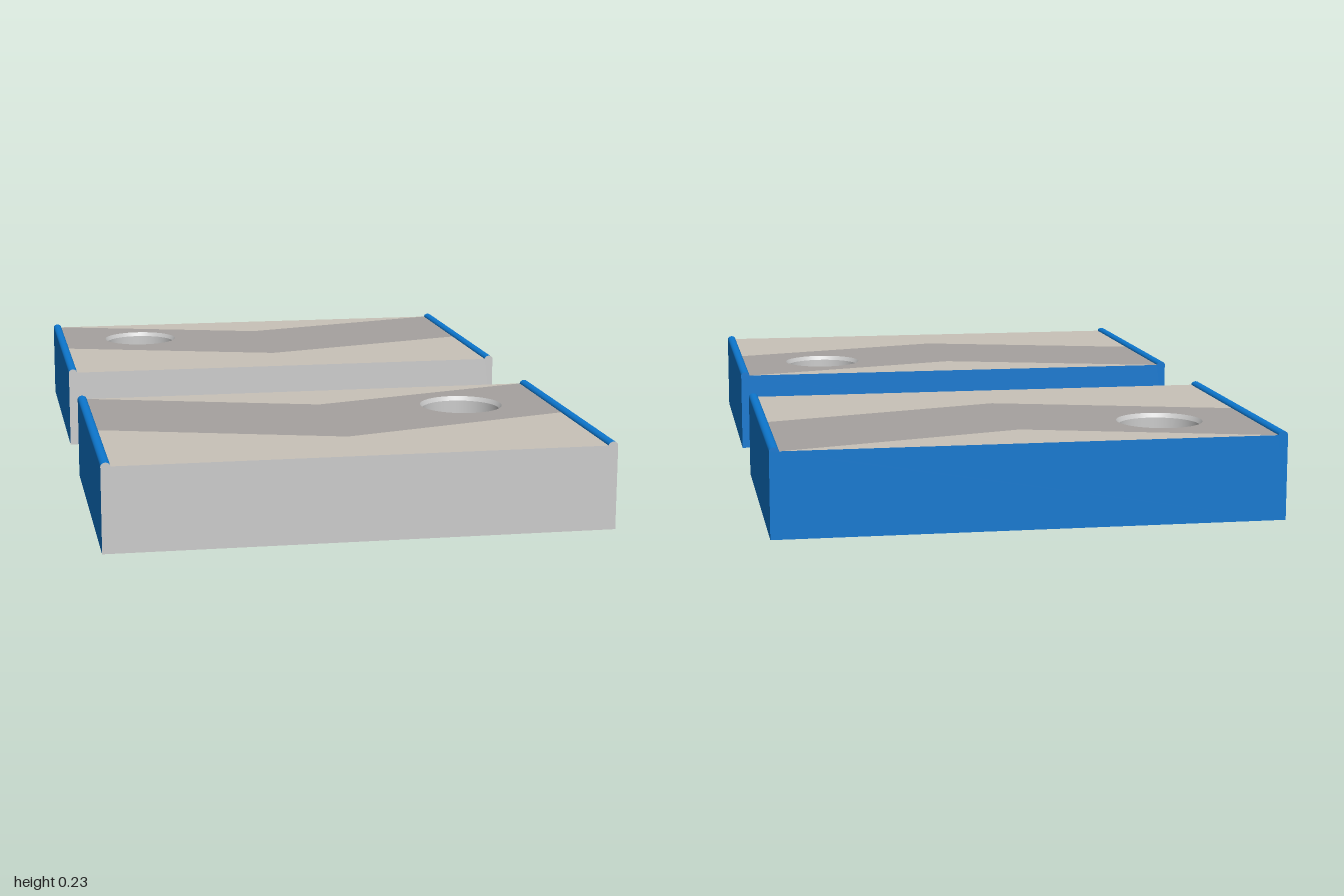
import * as THREE from 'three';

const W = 0.66, D = 0.403, H = 0.222;     // half width, half depth, deck height
const RAIL = 0.0125, RAIL_H = 0.01;       // rail half width and height
const HOLE_X = 0.39, HOLE_Z = -0.148, HOLE_R = 0.108, RIM_R = 0.114;

const material = (color) => new THREE.MeshStandardMaterial({ color });
const grey = material(0xcccccc);
const blue = material(0x0d78d0);
const tan = material(0xc8c2b8);
const taupe = material(0xa6a29f);
const holeGrey = material(0xcccccc);
holeGrey.side = THREE.DoubleSide;

function add(group, name, geometry, mat) {
  const mesh = new THREE.Mesh(geometry, mat);
  mesh.name = name;
  group.add(mesh);
  return mesh;
}

// Flat outline given as [x, z] points
const outline = (points) => new THREE.Shape(points.map(([x, z]) => new THREE.Vector2(x, -z)));

function punch(shape, x, z, radius) {
  shape.holes.push(new THREE.Path().absarc(x, -z, radius, 0, Math.PI * 2, true));
  return shape;
}

// End wall silhouette, with the rounded rail ends on top
function endWall() {
  const s = new THREE.Shape();
  s.moveTo(-W, 0).lineTo(W, 0).lineTo(W, H);
  s.absellipse(W - RAIL, H, RAIL, RAIL_H, 0, Math.PI, false);
  s.lineTo(-W + 2 * RAIL, H);
  s.absellipse(-W + RAIL, H, RAIL, RAIL_H, 0, Math.PI, false);
  s.lineTo(-W, 0);
  return new THREE.ShapeGeometry(s, 16);
}

function createBoard(holeX) {
  const board = new THREE.Group();
  const w = W - 2 * RAIL;

  // Deck: chevron band between two pale fields
  const deck = (name, shape, mat) =>
    add(board, name, new THREE.ShapeGeometry(shape, 32).rotateX(-Math.PI / 2).translate(0, H, 0), mat);
  deck('rearField', outline([[-w, -D], [0, -0.216], [w, -D]]), tan);
  deck('chevronBand', punch(
    outline([[-w, -D], [-w, 0], [0, 0.187], [w, 0], [w, -D], [0, -0.216]]),
    holeX, HOLE_Z, RIM_R), taupe);
  deck('frontField', outline([[-w, 0], [-w, D], [w, D], [w, 0], [0, 0.187]]), tan);

  // Underside
  const base = punch(outline([[-W, -D], [-W, D], [W, D], [W, -D]]), holeX, HOLE_Z, HOLE_R);
  const baseGeometry = new THREE.ShapeGeometry(base, 32).rotateX(Math.PI / 2);
  baseGeometry.scale(1, 1, 1);
  // The downward turn flips z, so the hole is laid out again on the mirrored side
  const under = punch(outline([[-W, -D], [-W, D], [W, D], [W, -D]]), holeX, -HOLE_Z, HOLE_R);
  add(board, 'underside', new THREE.ShapeGeometry(under, 32).rotateX(Math.PI / 2), blue);
  baseGeometry.dispose();

  // Front and back walls
  add(board, 'frontWall', endWall().translate(0, 0, D), grey);
  add(board, 'backWall', endWall().rotateY(Math.PI).translate(0, 0, -D), blue);

  // Side walls and their rounded rails
  for (const side of [-1, 1]) {
    const name = side > 0 ? 'left' : 'right';
    add(board, name + 'Wall',
      new THREE.PlaneGeometry(2 * D, H).rotateY(side * Math.PI / 2).translate(side * W, H / 2, 0), blue);
    const rail = new THREE.CylinderGeometry(RAIL, RAIL, 2 * D, 16, 1, true, Math.PI / 2, Math.PI)
      .rotateX(Math.PI / 2).scale(1, RAIL_H / RAIL, 1).translate(side * (W - RAIL), H, 0);
    add(board, name + 'Rail', rail, blue);
  }

  // Through hole with a bevelled rim
  const bore = [[HOLE_R, 0], [HOLE_R, H - 0.012]];
  const rim = [[HOLE_R, H - 0.012], [RIM_R, H]];
  [['holeWall', bore], ['holeRim', rim]].forEach(([name, profile]) => {
    const points = profile.map(([x, y]) => new THREE.Vector2(x, y));
    add(board, name, new THREE.LatheGeometry(points, 64).translate(holeX, 0, HOLE_Z), holeGrey);
  });
  return board;
}

export function createModel() {
  const model = new THREE.Group();
  const front = createBoard(HOLE_X);
  front.name = 'frontBoard';
  front.position.z = 1 - D;
  const back = createBoard(-HOLE_X);
  back.name = 'backBoard';
  back.position.z = D - 1;
  model.add(front, back);
  return model;
}
